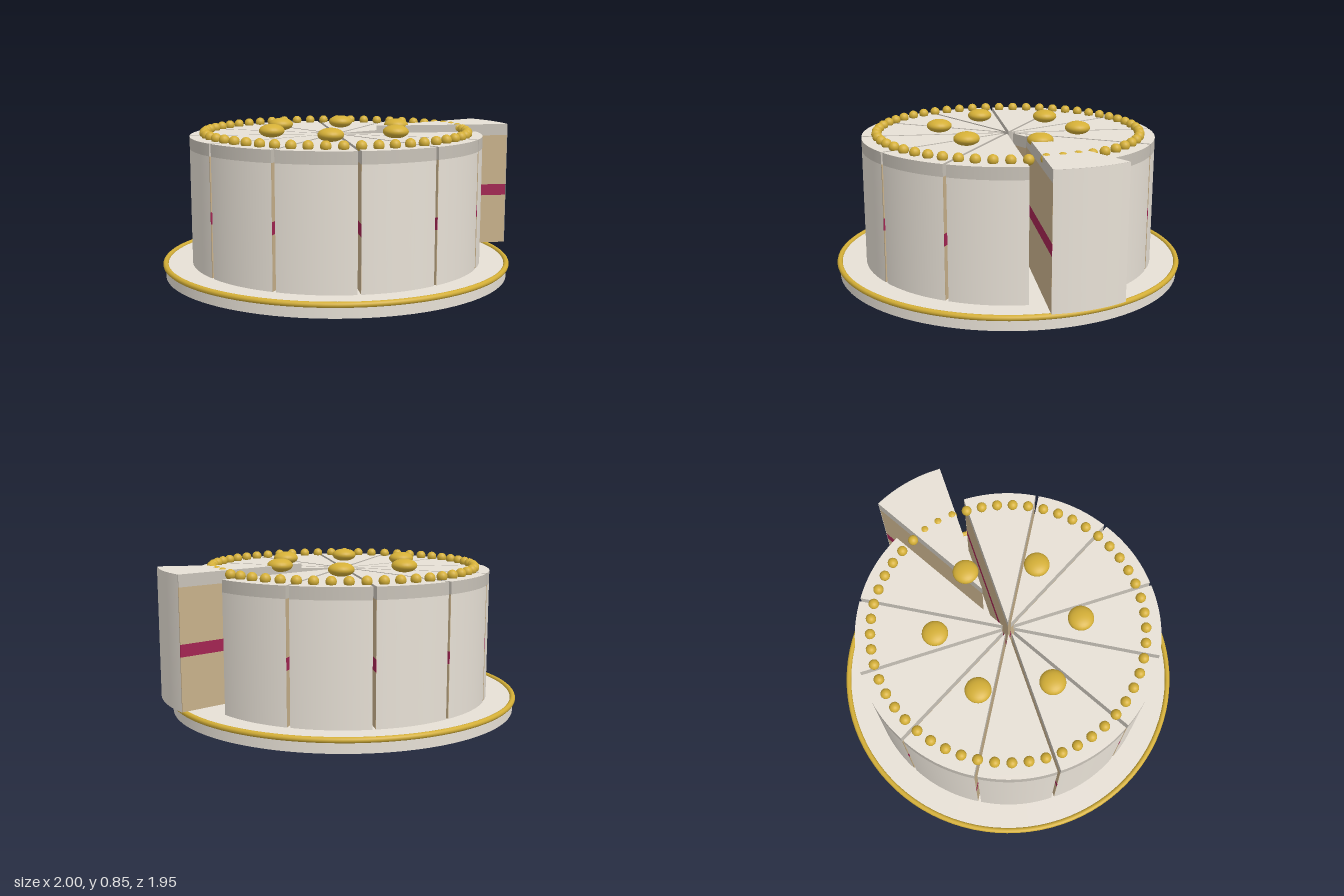
import * as THREE from 'three';

const mat = (name, color) => {
  const m = new THREE.MeshStandardMaterial({ color });
  m.name = name;
  return m;
};

export function createModel() {
  const frosting = mat('cream frosting', 0xf0e9de);
  const icing = mat('icing edge', 0xc8c2b8);
  const sponge = mat('sponge', 0xc8b18b);
  const filling = mat('berry filling', 0xa32452);
  const gold = mat('gold', 0xd4af37);
  const frostingShell = mat('frosting shell', 0xf0e9de);
  frostingShell.side = THREE.DoubleSide;

  const model = new THREE.Group();
  model.name = 'layerCake';
  const cake = new THREE.Group();
  cake.name = 'cakeOnPlate';
  cake.position.x = -0.022;
  model.add(cake);

  const add = (parent, name, geometry, material, x = 0, y = 0, z = 0) => {
    const mesh = new THREE.Mesh(geometry, material);
    mesh.name = name;
    mesh.position.set(x, y, z);
    parent.add(mesh);
    return mesh;
  };

  // Plate with a gilded rim
  add(cake, 'plate', new THREE.CylinderGeometry(0.962, 0.962, 0.07, 96), frosting, 0, 0.035);
  const rim = new THREE.TorusGeometry(0.962, 0.015, 12, 96);
  rim.rotateX(Math.PI / 2);
  add(cake, 'plateRim', rim, gold, 0, 0.068);

  // Slice pieces: 30 degree wedges with their tip at the origin
  const COUNT = 12, ANGLE = (Math.PI * 2) / COUNT, R = 0.78;
  const wedge = (radius, y0, y1) => {
    const shape = new THREE.Shape();
    shape.moveTo(0, 0);
    shape.lineTo(radius, 0);
    shape.absarc(0, 0, radius, 0, ANGLE, false);
    shape.lineTo(0, 0);
    const g = new THREE.ExtrudeGeometry(shape, { depth: y1 - y0, bevelEnabled: false, curveSegments: 20 });
    g.rotateX(-Math.PI / 2);
    g.translate(0, y0, 0);
    return g;
  };
  const arc = (y0, y1) => {
    const g = new THREE.CylinderGeometry(R, R, y1 - y0, 20, 1, true, Math.PI / 2, ANGLE);
    g.translate(0, (y0 + y1) / 2, 0);
    return g;
  };
  const inner = R - 0.003;
  const lowerSponge = wedge(inner, 0, 0.285);
  const fillingLayer = wedge(inner, 0.285, 0.35);
  const upperSponge = wedge(inner, 0.35, 0.64);
  const icingLayer = wedge(R, 0.64, 0.705);
  const pulledIcing = wedge(inner, 0.64, 0.705);
  const sideShell = arc(0, 0.64);
  const fullShell = arc(0, 0.705);

  // Ring of slices; the first is pulled out and lifted
  for (let i = 0; i < COUNT; i++) {
    const pulled = i === 0;
    const slice = new THREE.Group();
    slice.name = pulled ? 'pulledSlice' : 'slice' + i;
    const mid = (i + 0.5) * ANGLE;
    const shift = pulled ? 0.252 : 0.034;
    slice.position.set(Math.cos(mid) * shift, pulled ? 0.105 : 0.07, -Math.sin(mid) * shift);
    slice.rotation.y = i * ANGLE;
    add(slice, 'lowerSponge', lowerSponge, sponge);
    add(slice, 'fillingLayer', fillingLayer, filling);
    add(slice, 'upperSponge', upperSponge, sponge);
    add(slice, 'topIcing', pulled ? pulledIcing : icingLayer, [frosting, icing]);
    add(slice, 'sideFrosting', pulled ? fullShell : sideShell, frostingShell);
    cake.add(slice);
  }

  // Gold bead border
  const bead = new THREE.SphereGeometry(0.028, 16, 12);
  const BEADS = 53;
  for (let i = 0; i < BEADS; i++) {
    const a = (i / BEADS) * Math.PI * 2;
    add(cake, 'bead', bead, gold, Math.cos(a) * 0.731, 0.79, -Math.sin(a) * 0.731);
  }

  // Flattened gold drops on top
  const drop = new THREE.SphereGeometry(0.07, 24, 16);
  drop.scale(1, 0.52, 1);
  for (let i = 0; i < 6; i++) {
    const a = 0.314 + (i * Math.PI) / 3;
    add(cake, 'goldDrop', drop, gold, Math.cos(a) * 0.388, 0.809, -Math.sin(a) * 0.388);
  }

  return model;
}
